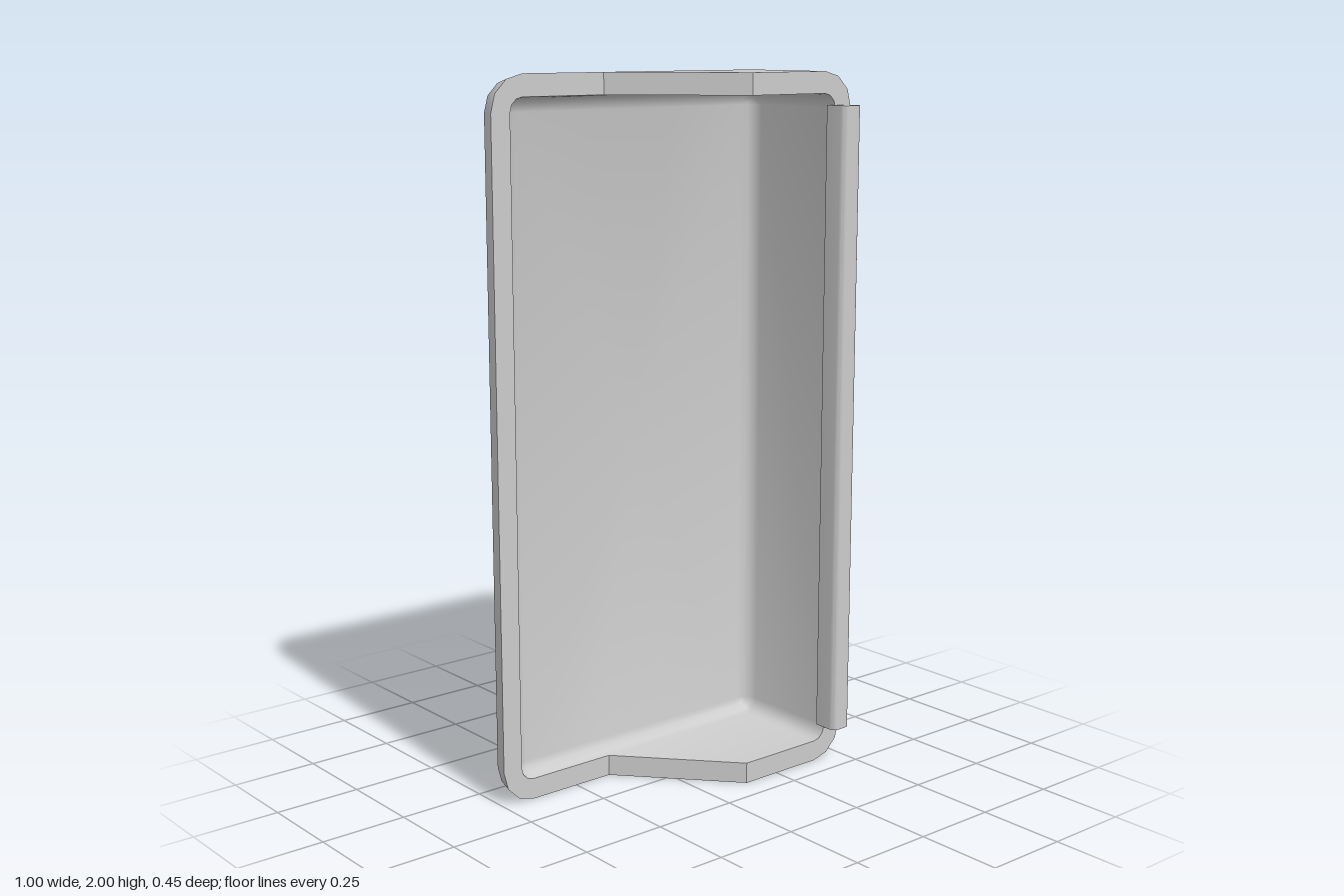
import * as THREE from 'three';
import { toCreasedNormals } from 'three/addons/utils/BufferGeometryUtils.js';

const HALF_W = 0.5, HALF_H = 1, RADIUS = 0.1, WALL = 0.06, SEGS = 3;
const BACK_Z = -0.225, LOW_Z = -0.125, HIGH_Z = 0.175, STEP_X = 0.133;

// Height of the rim: low on the right side, sloping up to the left side
const rimZ = (x) =>
  THREE.MathUtils.mapLinear(THREE.MathUtils.clamp(x, -STEP_X, STEP_X), -STEP_X, STEP_X, LOW_Z, HIGH_Z);

// Rounded rectangle, counter-clockwise from the front, with points where the rim bends
function ring(inset, zOf) {
  const pts = [], r = RADIUS - inset;
  const add = (x, y) => pts.push(new THREE.Vector3(x, y + HALF_H, zOf(x)));
  [[1, -1], [1, 1], [-1, 1], [-1, -1]].forEach(([sx, sy], corner) => {
    for (let i = 0; i <= SEGS; i++) {
      const a = (corner - 1 + i / SEGS) * Math.PI / 2;
      add(sx * (HALF_W - RADIUS) + r * Math.cos(a), sy * (HALF_H - RADIUS) + r * Math.sin(a));
    }
    if (corner === 1) [STEP_X, -STEP_X].forEach((x) => add(x, HALF_H - inset));
    if (corner === 3) [-STEP_X, STEP_X].forEach((x) => add(x, -HALF_H + inset));
  });
  return pts;
}

// Skins consecutive rings, skipping collapsed triangles
function skin(rings) {
  const pos = [], tri = new THREE.Triangle();
  const face = (a, b, c) => {
    tri.set(a, b, c);
    if (tri.getArea() > 1e-7) pos.push(...a.toArray(), ...b.toArray(), ...c.toArray());
  };
  for (let i = 0; i < rings.length - 1; i++) {
    const n = rings[i].length;
    for (let k = 0; k < n; k++) {
      const j = (k + 1) % n;
      const a = rings[i][k], b = rings[i][j], c = rings[i + 1][j], d = rings[i + 1][k];
      face(a, b, c);
      face(a, c, d);
    }
  }
  const g = new THREE.BufferGeometry();
  g.setAttribute('position', new THREE.Float32BufferAttribute(pos, 3));
  return toCreasedNormals(g, 0.75);
}

export function createModel() {
  const group = new THREE.Group();
  const material = new THREE.MeshStandardMaterial({ color: 0xcccccc });

  // Hollow shell: back, rounded outer edge, rim, inner wall, inner fillet, floor
  const outer = [], inner = [];
  for (let i = 0; i <= SEGS; i++) {
    const a = (i / SEGS) * Math.PI / 2, r = RADIUS - WALL;
    outer.push(ring(RADIUS * (1 - Math.sin(a)), () => BACK_Z + RADIUS * (1 - Math.cos(a))));
    inner.unshift(ring(RADIUS - r * Math.sin(a), () => LOW_Z - r * Math.cos(a)));
  }
  const centre = (z) => outer[0].map(() => new THREE.Vector3(0, HALF_H, z));
  const shell = new THREE.Mesh(skin([
    centre(BACK_Z), ...outer, ring(0, rimZ), ring(WALL, rimZ), ...inner, centre(BACK_Z + WALL),
  ]), material);
  shell.name = 'shell';
  group.add(shell);

  // Rounded lip standing on the tall side wall
  const x0 = 0.433, x1 = 0.498, z0 = 0.15, z1 = 0.223, r = 0.02;
  const profile = new THREE.Shape();
  profile.moveTo(x0, z0);
  profile.lineTo(x1, z0);
  profile.lineTo(x1, z1 - r);
  profile.quadraticCurveTo(x1, z1, x1 - r, z1);
  profile.lineTo(x0 + r, z1);
  profile.quadraticCurveTo(x0, z1, x0, z1 - r);
  const lipGeometry = new THREE.ExtrudeGeometry(profile, { depth: 1.81, bevelEnabled: false, curveSegments: 4 });
  lipGeometry.rotateX(Math.PI / 2);
  const lip = new THREE.Mesh(toCreasedNormals(lipGeometry, 0.75), material);
  lip.position.y = 1.907;
  lip.name = 'sideLip';
  group.add(lip);

  return group;
}
